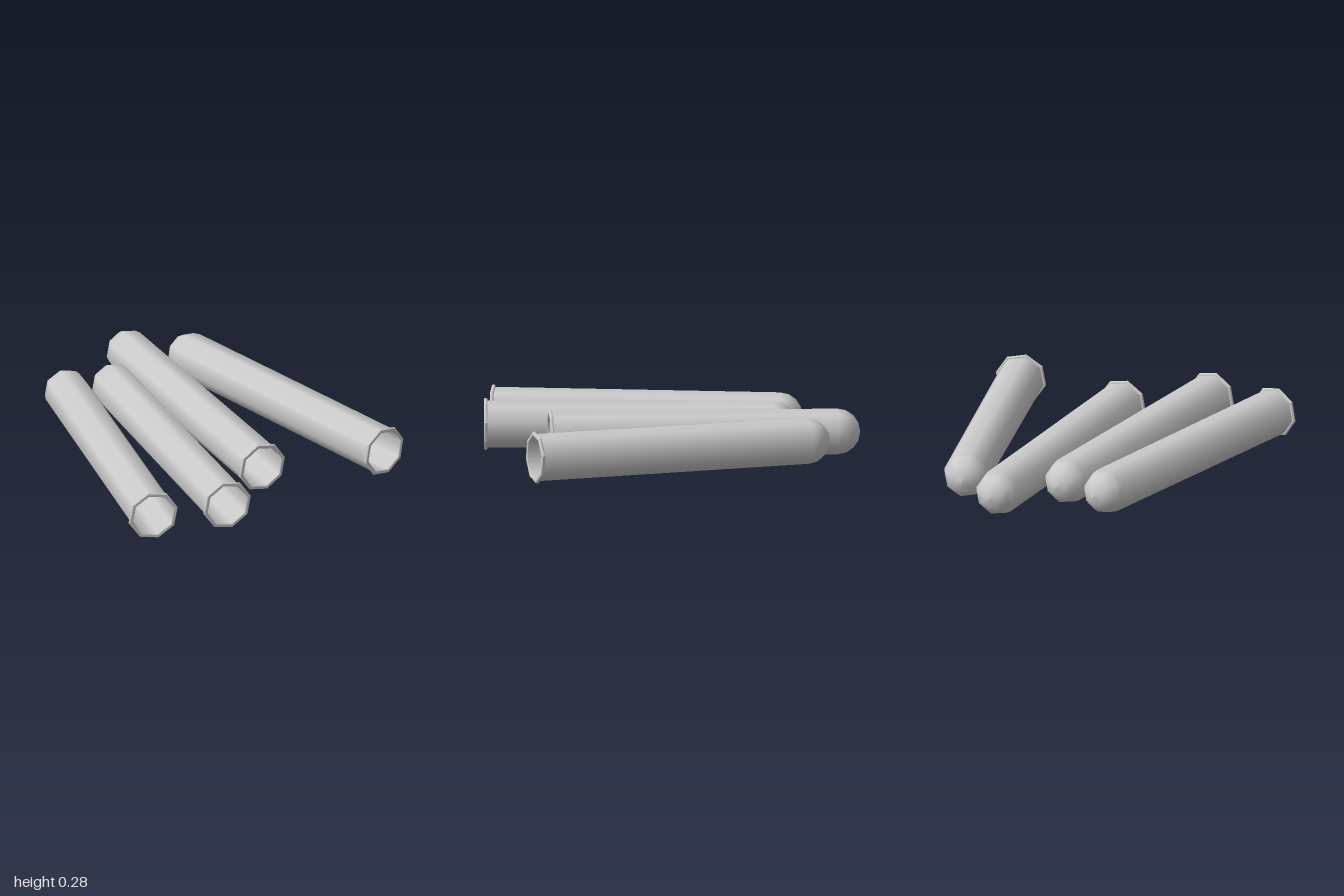
import * as THREE from 'three';
import { toCreasedNormals } from 'three/addons/utils/BufferGeometryUtils.js';

const SIDES = 8;
const LENGTH = 1.745;
const AXIS_HEIGHT = 0.143;

// Turned surface whose mouth lies at z = 0 and whose length runs towards -z
function turned(profile) {
  const points = profile.map(([r, y]) => new THREE.Vector2(r, y));
  return new THREE.LatheGeometry(points, SIDES, THREE.MathUtils.degToRad(33)).rotateX(-Math.PI / 2);
}

// Straight wall from the mouth, closed by a hemisphere
function wallProfile(mouthRadius, domeRadius, start, tip) {
  const profile = [[mouthRadius, start]];
  const steps = 4;
  for (let i = 0; i <= steps; i++) {
    const a = (i / steps) * Math.PI / 2;
    const r = i === steps ? 0 : domeRadius * Math.cos(a);
    profile.push([r, tip - domeRadius + domeRadius * Math.sin(a)]);
  }
  return profile;
}

export function createModel() {
  const group = new THREE.Group();
  const material = new THREE.MeshStandardMaterial({ color: 0xcccccc });

  const outer = turned(wallProfile(0.132, 0.128, 0.012, LENGTH));
  const inner = turned(wallProfile(0.123, 0.119, 0.003, LENGTH - 0.009).reverse());
  const lip = toCreasedNormals(turned([
    [0.123, 0.003], [0.127, 0], [0.141, 0], [0.1455, 0.005], [0.1455, 0.013], [0.141, 0.019], [0.131, 0.02],
  ]), 0.6);

  // Mouth position x, z and turn about the vertical, in degrees
  const placements = [
    [-0.755, 0.73, 24.7],
    [-0.362, 0.912, 19.1],
    [0.102, 0.69, 14.6],
    [0.742, 1.0, 0],
  ];

  placements.forEach(([x, z, turn], i) => {
    const tube = new THREE.Group();
    tube.name = `testTube${i + 1}`;
    for (const [name, geometry] of [['outerWall', outer], ['innerWall', inner], ['lip', lip]]) {
      const mesh = new THREE.Mesh(geometry, material);
      mesh.name = name;
      tube.add(mesh);
    }
    tube.position.set(x, AXIS_HEIGHT, z);
    tube.rotation.y = -THREE.MathUtils.degToRad(turn);
    group.add(tube);
  });

  return group;
}
